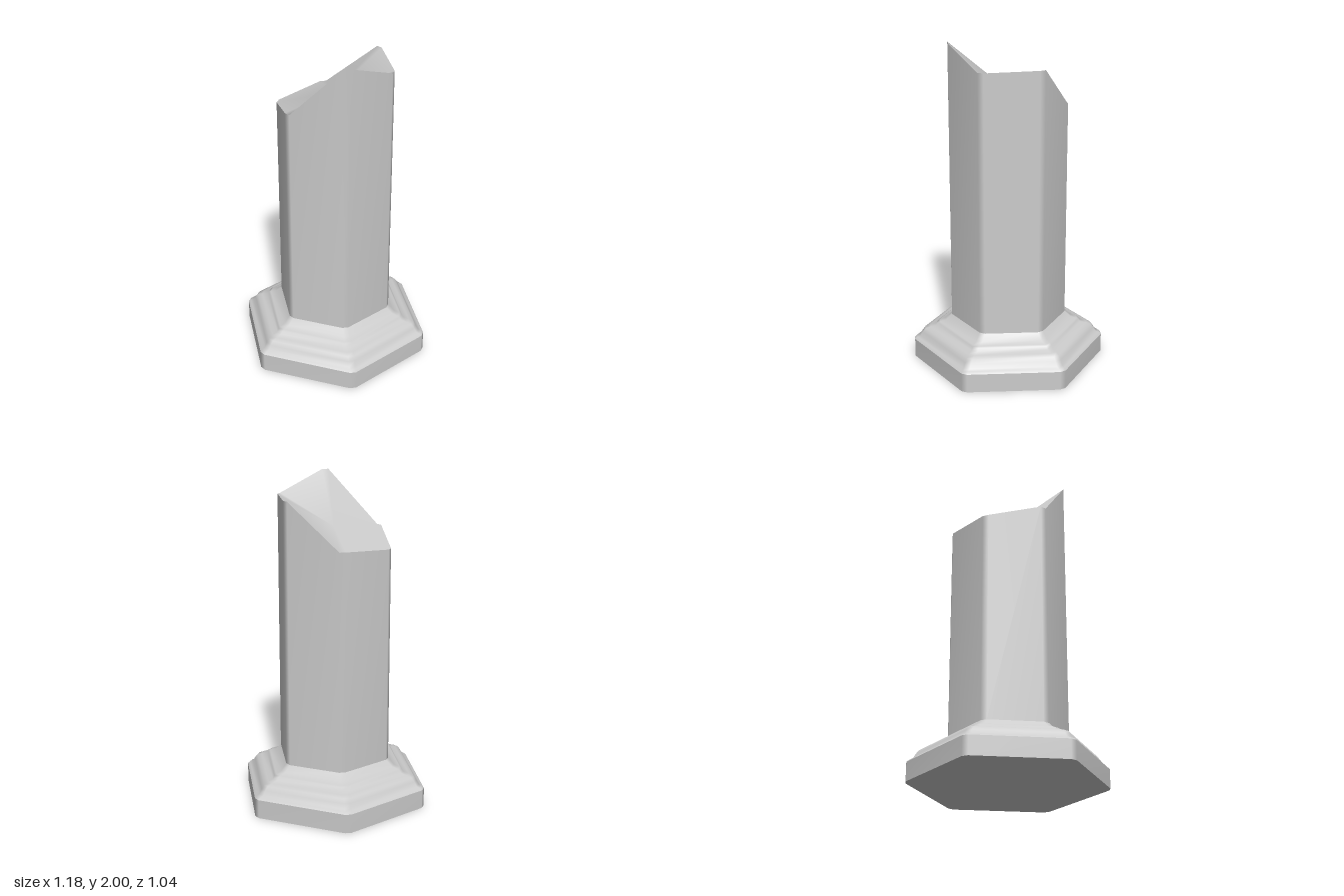
import * as THREE from 'three';

const SIDES = 6;
const CLIP = 0.022; // how much of each edge the corner chamfer removes

// Hexagon ring with clipped corners; height is a number or one height per corner
function ring(apothem, height) {
  const radius = apothem / Math.cos(Math.PI / SIDES);
  const corner = (i) => {
    const a = (i * Math.PI * 2) / SIDES;
    return new THREE.Vector3(radius * Math.cos(a), 0, -radius * Math.sin(a));
  };
  const points = [];
  for (let i = 0; i < SIDES; i++) {
    for (const step of [-1, 1]) {
      const p = corner(i).lerp(corner(i + step), CLIP / radius);
      p.y = Array.isArray(height) ? height[i] : height;
      points.push(p);
    }
  }
  return points;
}

function surface(name, points, index) {
  const geometry = new THREE.BufferGeometry().setFromPoints(points);
  geometry.setIndex(index);
  geometry.computeVertexNormals();
  const mesh = new THREE.Mesh(geometry, new THREE.MeshStandardMaterial({ color: 0xcccccc }));
  mesh.name = name;
  return mesh;
}

// Walls joining a stack of rings, listed from bottom to top
function loft(name, rings) {
  const n = SIDES * 2;
  const index = [];
  for (let r = 0; r < rings.length - 1; r++) {
    for (let i = 0; i < n; i++) {
      const j = (i + 1) % n;
      const a = r * n + i, b = r * n + j;
      index.push(a, b, b + n, a, b + n, a + n);
    }
  }
  return surface(name, rings.flat(), index);
}

// Fan from a centre point to a ring
function cap(name, points, centreY, down = false) {
  const n = points.length;
  const index = [];
  for (let i = 0; i < n; i++) {
    const j = (i + 1) % n;
    index.push(n, down ? j : i, down ? i : j);
  }
  return surface(name, [...points, new THREE.Vector3(0, centreY, 0)], index);
}

export function createModel() {
  const group = new THREE.Group();
  group.name = 'brokenColumn';

  // Plinth
  group.add(cap('plinthUnderside', ring(0.52, 0), 0, true));
  group.add(loft('plinth', [ring(0.52, 0), ring(0.52, 0.117)]));

  // Stepped moulding: [apothem, height]
  const profile = [
    [0.52, 0.117], [0.507, 0.13], [0.49, 0.138], [0.476, 0.165], [0.461, 0.188],
    [0.435, 0.199], [0.403, 0.208], [0.393, 0.226], [0.382, 0.233], [0.35, 0.244], [0.316, 0.283],
  ];
  group.add(loft('baseMoulding', profile.map(([a, y]) => ring(a, y))));

  // Shaft ending in an uneven break, heights counter-clockwise from +x
  const breakHeights = [1.885, 1.895, 1.625, 1.6, 1.68, 2.0];
  const rim = ring(0.316, breakHeights);
  group.add(loft('shaft', [ring(0.316, 0.283), rim]));
  group.add(cap('brokenTop', rim, 1.71));

  return group;
}
